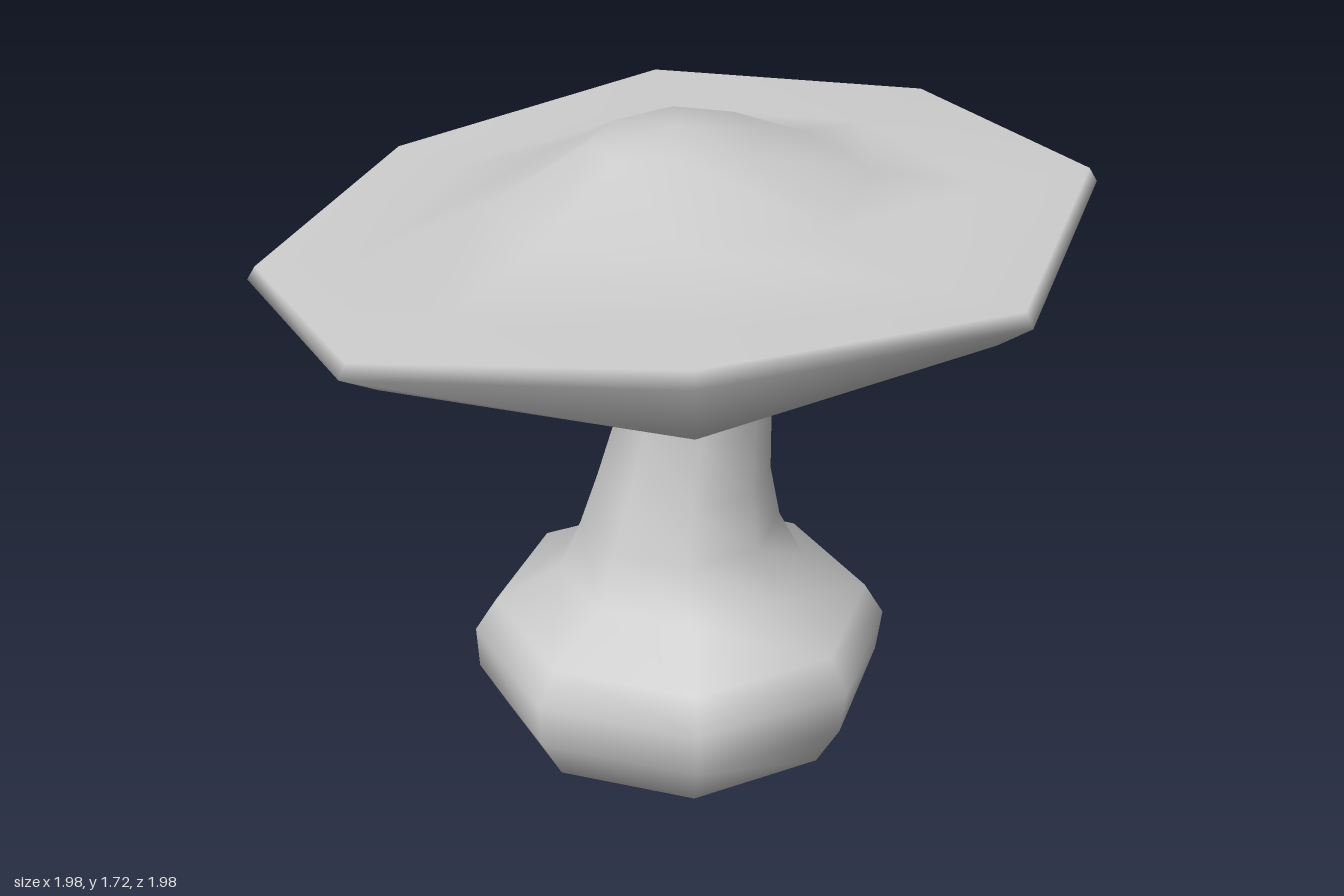
import * as THREE from 'three';

const SIDES = 8;

// Skin a stack of eight-sided rings [radius, cx, cz, y]; y is a number or one height per spoke.
// Rings run from the lower/inner end upward; radius 0 closes an end with a point.
function loft(rings, turn = 0) {
  const pos = [], idx = [], starts = [];
  for (const [r, cx, cz, y] of rings) {
    starts.push(pos.length / 3);
    const n = r === 0 ? 1 : SIDES;
    for (let i = 0; i < n; i++) {
      const a = (i / SIDES) * Math.PI * 2 + turn;
      pos.push(cx + r * Math.cos(a), Array.isArray(y) ? y[i] : y, cz + r * Math.sin(a));
    }
  }
  for (let k = 0; k < rings.length - 1; k++) {
    const lowTip = rings[k][0] === 0, highTip = rings[k + 1][0] === 0;
    for (let i = 0; i < SIDES; i++) {
      const j = (i + 1) % SIDES;
      const a = starts[k] + (lowTip ? 0 : i), b = starts[k] + (lowTip ? 0 : j);
      const c = starts[k + 1] + (highTip ? 0 : i), d = starts[k + 1] + (highTip ? 0 : j);
      if (!highTip) idx.push(a, c, d);
      if (!lowTip) idx.push(a, highTip ? c : d, b);
    }
  }
  const g = new THREE.BufferGeometry();
  g.setAttribute('position', new THREE.Float32BufferAttribute(pos, 3));
  g.setIndex(idx);
  g.computeVertexNormals();
  return g;
}

export function createModel() {
  const group = new THREE.Group();
  const material = new THREE.MeshStandardMaterial({ color: 0xcccccc, roughness: 0.8 });
  const add = (name, geometry) => {
    const mesh = new THREE.Mesh(geometry, material);
    mesh.name = name;
    group.add(mesh);
  };

  // Bulbous foot narrowing to a slightly leaning stalk
  add('stalk', loft([
    [0, 0.015, -0.03, 0],
    [0.26, 0.015, -0.025, 0.06],
    [0.45, 0.01, -0.025, 0.17],
    [0.517, 0.01, -0.025, 0.29],
    [0.527, 0.013, -0.028, 0.4],
    [0.475, 0.015, -0.028, 0.485],
    [0.312, 0.02, -0.027, 0.58],
    [0.25, 0.018, -0.02, 0.71],
    [0.215, 0.022, -0.03, 0.84],
    [0.19, 0.035, -0.052, 1.0],
    [0.193, 0.037, -0.057, 1.16],
    [0.203, 0.028, -0.048, 1.35],
    [0.21, 0.028, -0.045, 1.4],
  ]));

  // Wavy, tilted cap: rim heights per spoke, fading toward the dome
  const rim = [1.545, 1.56, 1.46, 1.4, 1.46, 1.575, 1.597, 1.61];
  const under = [1.45, 1.38, 1.375, 1.325, 1.375, 1.41, 1.5, 1.48];
  const wave = (base, k) => rim.map((y) => base + k * (y - 1.525));
  add('cap', loft([
    [0, 0.02, -0.04, 1.37],
    [0.2, 0.02, -0.04, wave(1.355, 0.1)],
    [0.5, 0, -0.01, wave(1.36, 0.28)],
    [0.9, 0.005, -0.01, under],
    [0.99, 0, -0.005, wave(1.493, 1)],
    [0.97, 0, -0.005, rim],
    [0.72, 0, -0.01, wave(1.512, 0.7)],
    [0.45, 0, -0.03, wave(1.575, 0.35)],
    [0.2, 0, -0.025, wave(1.698, 0.12)],
    [0, 0, -0.03, 1.72],
  ], 0.035));

  return group;
}
